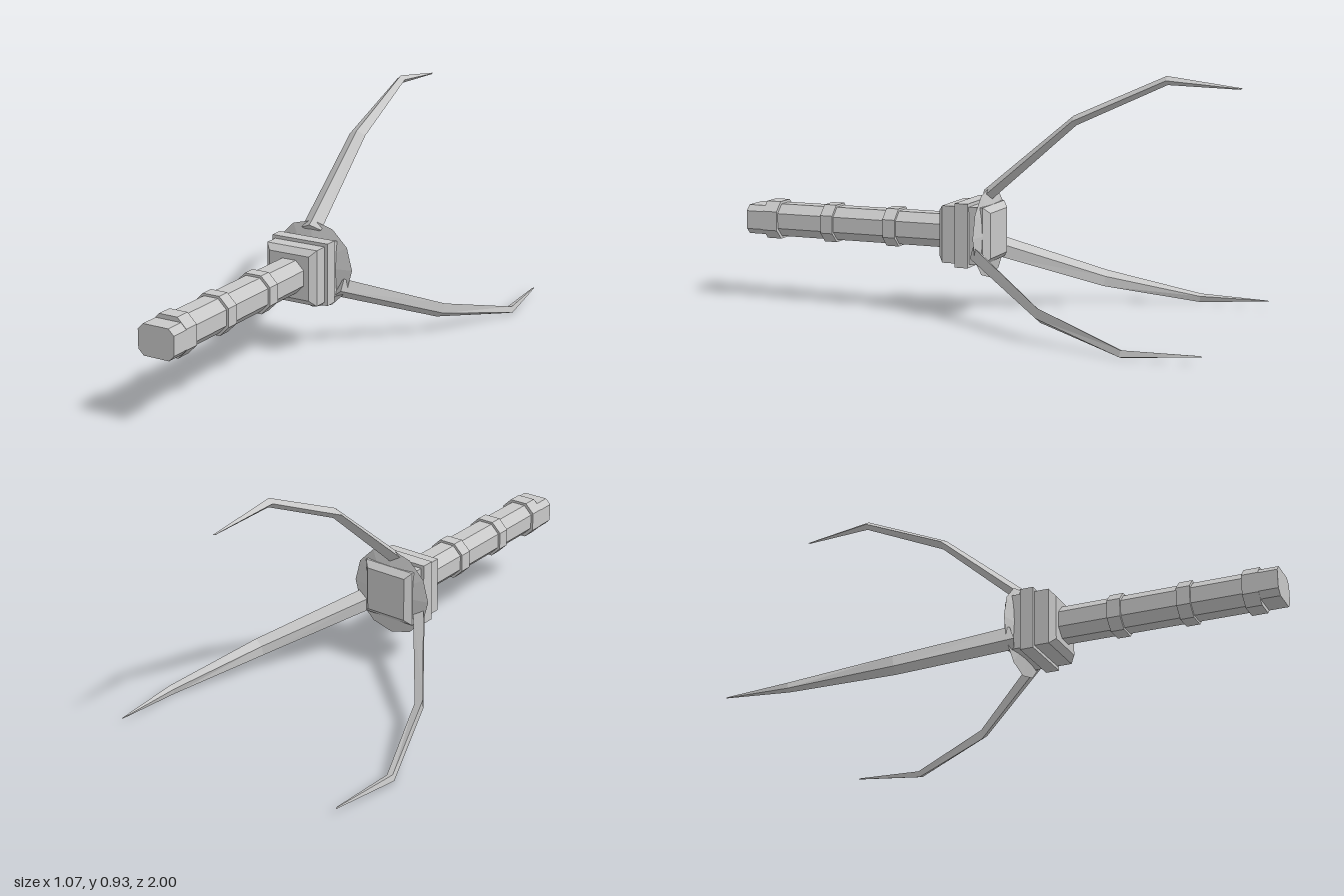
import * as THREE from 'three';

const AXIS_Y = 0.325;

// Skin a row of closed rings (counter-clockwise from +z, running towards -z), capped at both ends.
function loft(rings) {
  const pos = [];
  const tri = (a, b, c) => pos.push(...a, ...b, ...c);
  const n = rings[0].length;
  for (let s = 0; s < rings.length - 1; s++) {
    const a = rings[s], b = rings[s + 1];
    for (let i = 0; i < n; i++) {
      const j = (i + 1) % n;
      tri(a[i], b[i], b[j]);
      tri(a[i], b[j], a[j]);
    }
  }
  const first = rings[0], last = rings[rings.length - 1];
  for (let i = 1; i < n - 1; i++) {
    tri(first[0], first[i], first[i + 1]);
    tri(last[0], last[i + 1], last[i]);
  }
  const g = new THREE.BufferGeometry();
  g.setAttribute('position', new THREE.Float32BufferAttribute(pos, 3));
  g.computeVertexNormals();
  return g;
}

// Square ring of half size h
const square = (h, z) => [[h, -h, z], [h, h, z], [-h, h, z], [-h, -h, z]];

// Rectangle ring with cut corners
function octagon(hx, hy, cut, z) {
  const x = hx - cut, y = hy - cut;
  return [[hx, -y, z], [hx, y, z], [x, hy, z], [-x, hy, z],
    [-hx, y, z], [-hx, -y, z], [-x, -hy, z], [x, -hy, z]];
}

export function createModel() {
  const model = new THREE.Group();
  model.name = 'threeProngedClaw';
  const body = new THREE.Group();
  body.name = 'body';
  body.position.y = AXIS_Y;
  model.add(body);

  const steel = new THREE.MeshStandardMaterial({ color: 0xc8c8c8, flatShading: true });
  steel.name = 'pale steel';

  const add = (name, geometry) => {
    const mesh = new THREE.Mesh(geometry, steel);
    mesh.name = name;
    body.add(mesh);
    return mesh;
  };

  // Handle shaft with raised grip rings
  add('handle', loft([octagon(0.065, 0.065, 0.035, 0.9), octagon(0.065, 0.065, 0.035, 0.12)]));
  for (const z of [0.375, 0.645]) {
    add('gripRing', loft([octagon(0.074, 0.074, 0.039, z + 0.026), octagon(0.074, 0.074, 0.039, z - 0.026)]));
  }

  // Pommel: a full collar, then a lower end block
  add('pommelCollar', loft([octagon(0.075, 0.075, 0.037, 0.927), octagon(0.075, 0.075, 0.037, 0.866)]));
  add('pommelEnd', loft([octagon(0.075, 0.058, 0.022, 1.0), octagon(0.075, 0.058, 0.022, 0.92)]));

  // Square head, bevelled at both ends, with a flange around it
  add('head', loft([square(0.087, 0.153), square(0.11, 0.132), square(0.11, -0.035), square(0.087, -0.057)]));
  add('flange', loft([square(0.123, 0.075), square(0.123, 0.022)]));

  // Thin twelve-sided guard disc, thicker in the middle
  const disc = (r, z) => Array.from({ length: 12 }, (_, i) => {
    const a = i * Math.PI / 6;
    return [r * Math.cos(a), r * Math.sin(a), z];
  });
  add('guardDisc', loft([disc(0.08, 0), disc(0.175, -0.02), disc(0.08, -0.04)]));

  // Prongs: diamond sections given as outer edge, inner edge (z, radius) and half width
  const sections = [
    { outer: [0.005, 0.162], inner: [-0.025, 0.125], w: 0.043 },
    { outer: [-0.355, 0.46], inner: [-0.367, 0.425], w: 0.035 },
    { outer: [-0.712, 0.618], inner: [-0.716, 0.585], w: 0.018 },
    { outer: [-0.995, 0.581], inner: [-0.985, 0.576], w: 0.002 },
  ];
  const prong = loft(sections.map(({ outer, inner, w }) => {
    const z = (outer[0] + inner[0]) / 2, r = (outer[1] + inner[1]) / 2;
    return [[w, r, z], [0, outer[1], outer[0]], [-w, r, z], [0, inner[1], inner[0]]];
  }));
  ['topProng', 'rightProng', 'leftProng'].forEach((name, i) => {
    add(name, prong).rotation.z = i * Math.PI * 2 / 3;
  });

  return model;
}
